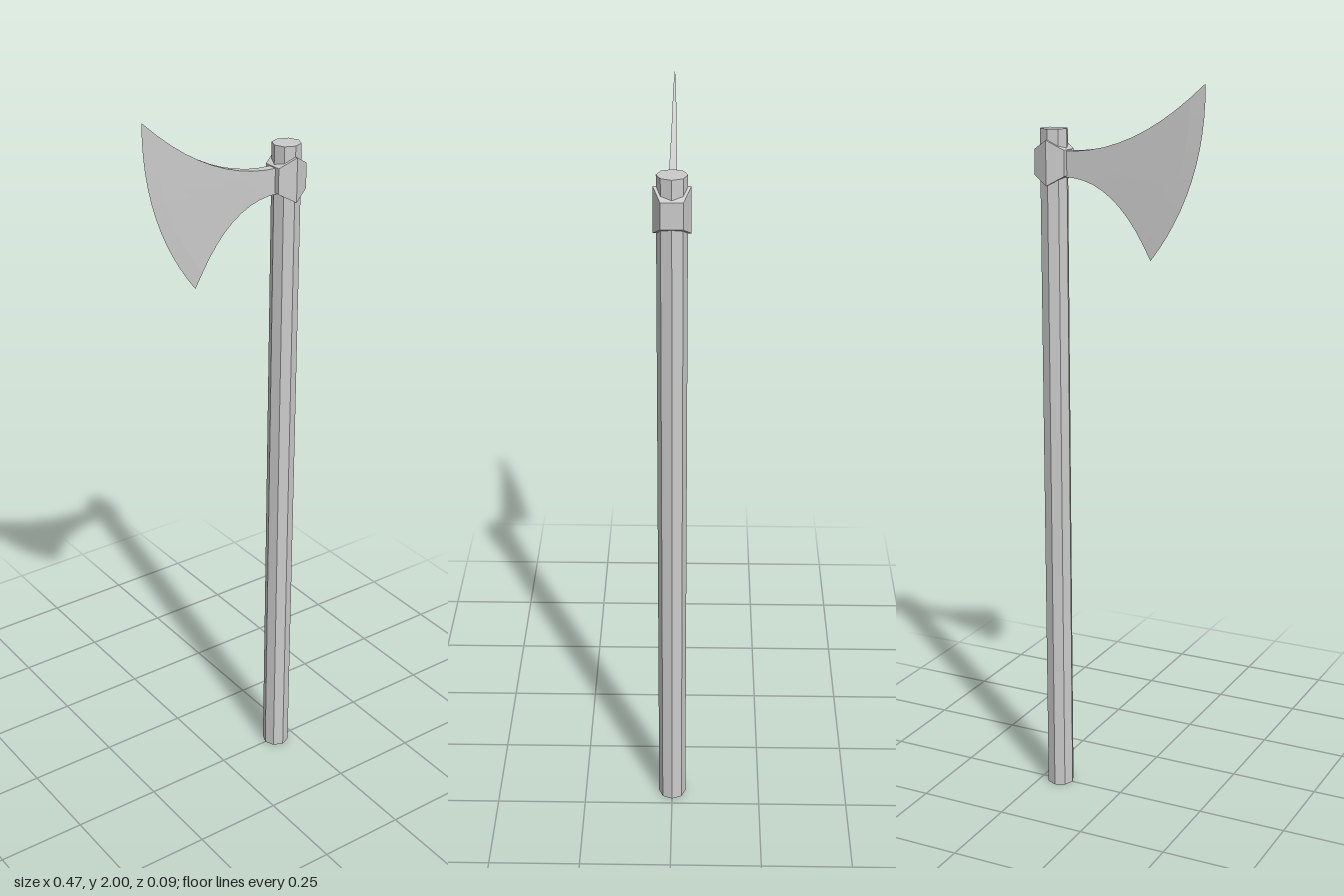
import * as THREE from 'three';

const SHAFT_X = 0.193;
const material = new THREE.MeshStandardMaterial({ color: 0xcccccc, flatShading: true });

function part(name, geometry) {
  const mesh = new THREE.Mesh(geometry, material);
  mesh.name = name;
  return mesh;
}

const quadratic = (...p) =>
  new THREE.QuadraticBezierCurve(...p.map(([x, y]) => new THREE.Vector2(x, y)));

// Six-sided collar whose top and bottom slope like roofs away from a ridge along z
function collarGeometry() {
  const geometry = new THREE.CylinderGeometry(0.0505, 0.0505, 0.12, 6);
  const pos = geometry.attributes.position;
  for (let i = 0; i < pos.count; i++) {
    const x = pos.getX(i);
    const y = pos.getY(i);
    pos.setY(i, Math.sign(y) * (0.059 - 0.58 * Math.abs(x)));
    pos.setZ(i, pos.getZ(i) * (Math.abs(x) > 0.01 ? 1.08 : 0.91));
  }
  geometry.computeVertexNormals();
  return geometry;
}

// Flared blade: closed rings swept from the neck to the sharp cutting edge
function bladeGeometry() {
  const upper = quadratic([0.16, 1.82], [-0.04, 1.815], [-0.235, 2.0]);
  const lower = quadratic([0.16, 1.752], [0.01, 1.757], [-0.087, 1.547]);
  const steps = [0, 0.1, 0.2, 0.3, 0.4, 0.5, 0.6, 0.7, 0.8, 0.9, 1];
  const n = 12;
  const ring = 2 * (n + 1);
  const positions = [];
  const index = [];

  for (const u of steps) {
    const top = upper.getPoint(u);
    const bottom = lower.getPoint(u);
    const half = u < 1 ? 0.013 - 0.0105 * u : 0;
    for (let k = 0; k < ring; k++) {
      const front = k <= n;
      const v = (front ? k : ring - 1 - k) / n;
      const p = bottom.clone().lerp(top, v);
      const bulge = 4 * v * (1 - v) * u * u;
      positions.push(p.x - 0.04 * bulge, p.y - 0.015 * bulge, front ? half : -half);
    }
  }
  for (let i = 0; i < steps.length - 1; i++) {
    for (let k = 0; k < ring; k++) {
      const next = (k + 1) % ring;
      const a = i * ring + k;
      const b = a + ring;
      const d = i * ring + next;
      const c = d + ring;
      index.push(a, d, c, a, c, b);
    }
  }

  const geometry = new THREE.BufferGeometry();
  geometry.setAttribute('position', new THREE.Float32BufferAttribute(positions, 3));
  geometry.setIndex(index);
  const flat = geometry.toNonIndexed();
  flat.computeVertexNormals();
  return flat;
}

export function createModel() {
  const group = new THREE.Group();
  group.name = 'axe';

  // Octagonal shaft
  const shaft = part('shaft', new THREE.CylinderGeometry(0.038, 0.038, 1.876, 8));
  shaft.position.set(SHAFT_X, 0.938, 0);

  const collar = part('collar', collarGeometry());
  collar.position.set(SHAFT_X, 1.789, 0);

  group.add(shaft, collar, part('blade', bladeGeometry()));
  return group;
}
